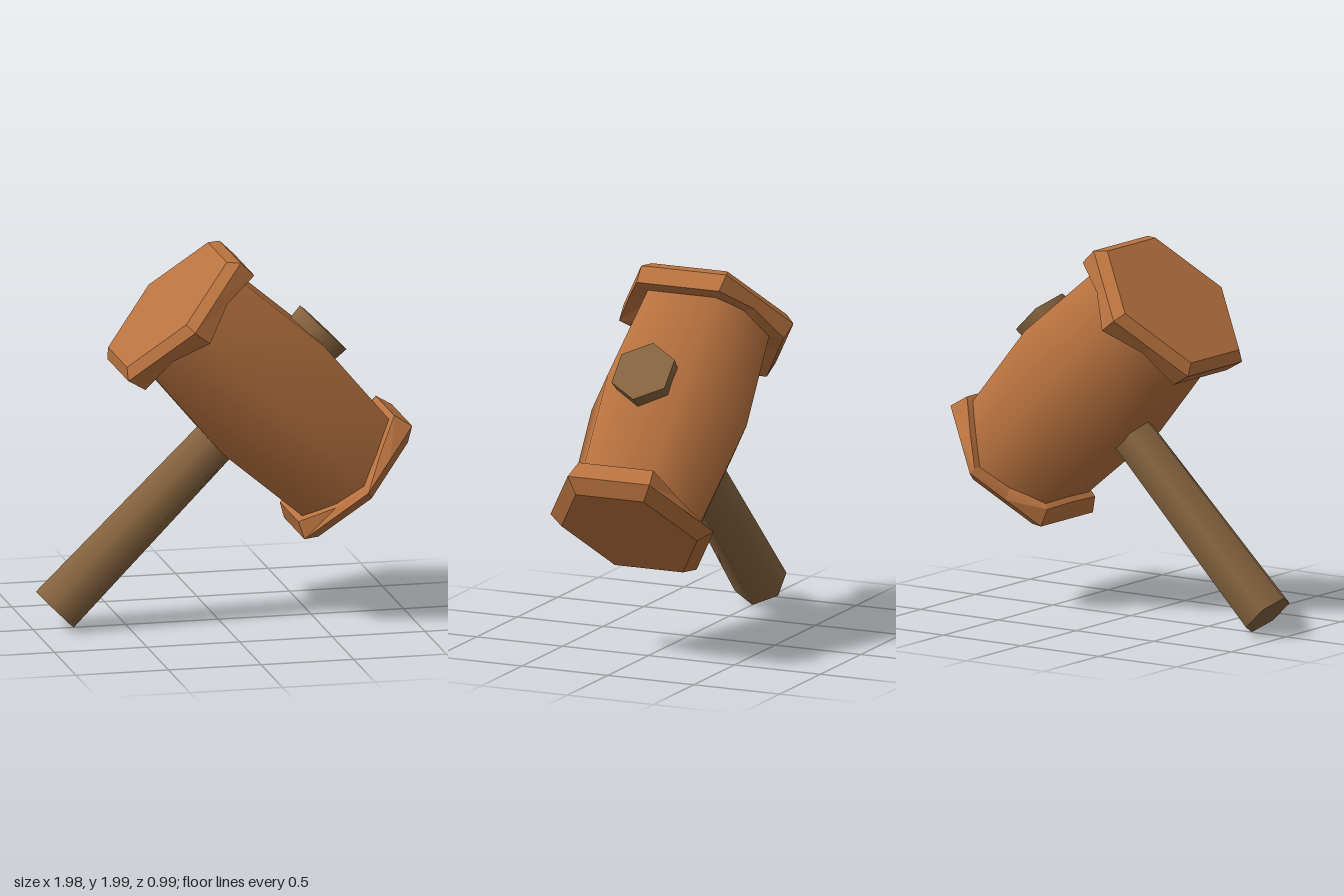
import * as THREE from 'three';

export function createModel() {
  const headWood = new THREE.MeshStandardMaterial({ color: 0xb8723f });
  headWood.name = 'orange brown wood';
  const handleWood = new THREE.MeshStandardMaterial({ color: 0x86643f });
  handleWood.name = 'dark brown wood';

  const model = new THREE.Group();
  model.name = 'mallet';

  const addMesh = (parent, name, geometry, material) => {
    const mesh = new THREE.Mesh(geometry, material);
    mesh.name = name;
    parent.add(mesh);
    return mesh;
  };

  // Faceted hexagonal flange built from loops of 12 points (corners and side middles).
  // Each loop is [height, radius, x shift]; the height may be a list, one per point.
  function flangeGeometry(loops, side) {
    const point = ([y, r, shift], k) => {
      k %= 12;
      const t = k * Math.PI / 6;
      const radius = k % 2 ? r * Math.cos(Math.PI / 6) : r;
      const h = Array.isArray(y) ? y[k] : y;
      return [radius * Math.sin(t) + shift, side * h, radius * Math.cos(t)];
    };
    const pos = [];
    const tri = (a, b, c) => pos.push(...a, ...(side > 0 ? b : c), ...(side > 0 ? c : b));
    for (let k = 0; k < 12; k++) {
      const face = loops[0];
      tri([face[2], side * face[0], 0], point(face, k), point(face, k + 1));
      for (let i = 0; i < loops.length - 1; i++) {
        const a = point(loops[i], k), d = point(loops[i], k + 1);
        const b = point(loops[i + 1], k), c = point(loops[i + 1], k + 1);
        tri(a, b, c);
        tri(a, c, d);
      }
    }
    const g = new THREE.BufferGeometry();
    g.setAttribute('position', new THREE.Float32BufferAttribute(pos, 3));
    g.computeVertexNormals();
    return g;
  }

  // Head: tilted hexagonal barrel with a flange on each end
  const head = new THREE.Group();
  head.name = 'head';
  head.position.set(0.245, 1.245, 0);
  head.rotation.z = Math.PI / 4;
  model.add(head);

  const barrel = [[0.385, -0.66], [0.45, 0], [0.385, 0.66]].map(p => new THREE.Vector2(...p));
  addMesh(head, 'barrel', new THREE.LatheGeometry(barrel, 6), headWood);

  // Upper flange: its inner lip dips between the corners
  const upperLip = Array.from({ length: 12 }, (_, k) => (k % 2 && k % 6 !== 3 ? 0.6 : 0.56));
  addMesh(head, 'upperFlange', flangeGeometry([
    [0.715, 0.44, -0.02],
    [0.665, 0.495, -0.02],
    [upperLip, 0.48, -0.005],
    [upperLip, 0.36, 0],
  ], 1), headWood);

  // Lower flange: worn thin at the front and back corners
  const lowerLip = [0.64, 0.6, 0.55, 0.55, 0.55, 0.6, 0.64, 0.63, 0.57, 0.56, 0.57, 0.63];
  addMesh(head, 'lowerFlange', flangeGeometry([
    [0.715, 0.395, -0.02],
    [0.655, 0.475, -0.01],
    [lowerLip, 0.435, 0],
    [lowerLip, 0.36, 0],
  ], -1), headWood);

  // Handle: tapered hexagonal shaft running through the head to a flared end
  const handle = new THREE.Group();
  handle.name = 'handle';
  handle.position.copy(head.position);
  handle.rotation.z = -Math.PI / 4;
  model.add(handle);

  const shaftPiece = (name, y0, r0, y1, r1) => {
    const g = new THREE.CylinderGeometry(r1, r0, y1 - y0, 6, 1, false, Math.PI / 2);
    addMesh(handle, name, g, handleWood).position.y = (y0 + y1) / 2;
  };
  shaftPiece('shaft', -1.595, 0.145, 0, 0.122);
  shaftPiece('flaredEnd', 0, 0.135, 0.455, 0.178);

  return model;
}
